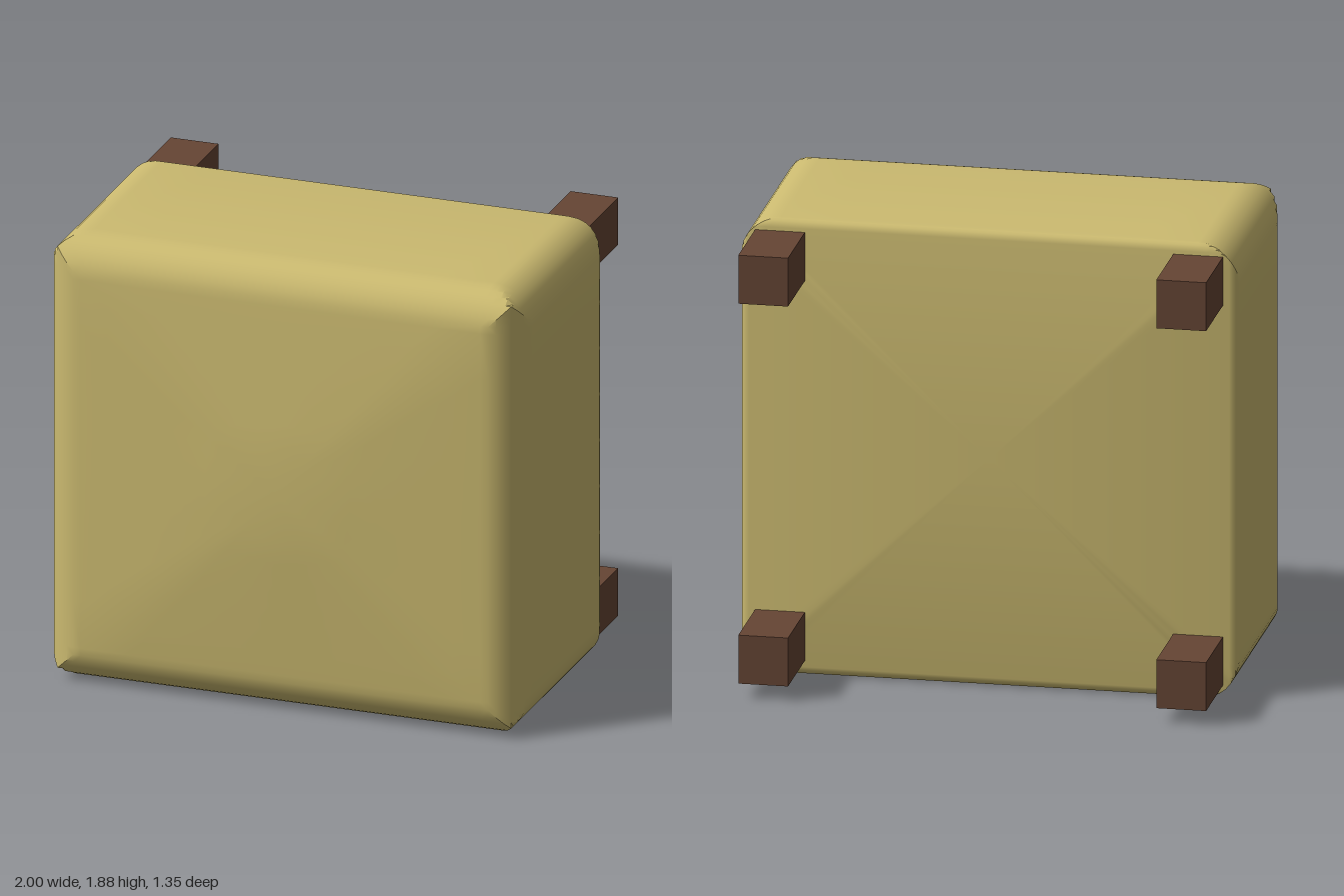
import * as THREE from 'three';
import { toCreasedNormals } from 'three/addons/utils/BufferGeometryUtils.js';

const W = 1, H = 0.94, R = 0.16;      // half width, half height, edge radius
const BACK = -0.33, FRONT = 0.63, BACK_R = 0.035;

// Rounded-rectangle outline, counter-clockwise seen from +z
function outline() {
  const pts = [], arc = 8, side = 8;
  const corners = [[1, 1], [-1, 1], [-1, -1], [1, -1]];
  corners.forEach(([sx, sy], k) => {
    for (let i = 0; i <= arc; i++) {
      const a = (k + i / arc) * Math.PI / 2;
      pts.push([sx * (W - R) + R * Math.cos(a), sy * (H - R) + R * Math.sin(a)]);
    }
    // points along the straight side to the next corner
    const [nx, ny] = corners[(k + 1) % 4], a = (k + 1) * Math.PI / 2;
    const [px, py] = pts[pts.length - 1];
    const qx = nx * (W - R) + R * Math.cos(a), qy = ny * (H - R) + R * Math.sin(a);
    for (let i = 1; i < side; i++) {
      pts.push([px + (qx - px) * i / side, py + (qy - py) * i / side]);
    }
  });
  return pts;
}

// Cushion: outline clipped by an inset rectangle at each depth, so edges meet in mitred corners
function cushionGeometry() {
  const base = outline();
  const clamp = THREE.MathUtils.clamp;
  const section = (inset, z) => base.map(([x, y]) => new THREE.Vector3(
    clamp(x, inset - W, W - inset), clamp(y, inset - H, H - inset), z));
  const rings = [base.map(() => new THREE.Vector3(0, 0, BACK))];

  // small back edge
  for (let i = 0; i <= 4; i++) {
    const a = i / 4 * Math.PI / 2;
    rings.push(section(BACK_R * (1 - Math.sin(a)), BACK + BACK_R * (1 - Math.cos(a))));
  }
  // large front edge
  for (let i = 0; i <= 8; i++) {
    const a = i / 8 * Math.PI / 2;
    rings.push(section(R * (1 - Math.cos(a)), FRONT - R + R * Math.sin(a)));
  }
  // crowned front, blending from the rim to a flat central disc
  const rim = rings[rings.length - 1];
  for (let i = 1; i <= 6; i++) {
    const t = i / 6;
    rings.push(rim.map((p) => {
      const d = Math.hypot(p.x, p.y), k = 0.2 / d;
      const s = 1 + (k - 1) * t;
      return new THREE.Vector3(p.x * s, p.y * s, FRONT + 0.045 * t);
    }));
  }
  rings.push(base.map(() => new THREE.Vector3(0, 0, FRONT + 0.045)));

  const pos = [], tri = new THREE.Triangle();
  const add = (a, b, c) => {
    if (tri.set(a, b, c).getArea() > 1e-8) pos.push(...a, ...b, ...c);
  };
  for (let i = 0; i < rings.length - 1; i++) {
    for (let j = 0; j < base.length; j++) {
      const n = (j + 1) % base.length;
      add(rings[i][j], rings[i][n], rings[i + 1][n]);
      add(rings[i][j], rings[i + 1][n], rings[i + 1][j]);
    }
  }
  const geo = new THREE.BufferGeometry();
  geo.setAttribute('position', new THREE.Float32BufferAttribute(pos, 3));
  return toCreasedNormals(geo, 0.5);
}

export function createModel() {
  const model = new THREE.Group();
  model.name = 'footstool';
  const fabric = new THREE.MeshStandardMaterial({ color: 0xcbba70 });
  fabric.name = 'mustard fabric';
  const wood = new THREE.MeshStandardMaterial({ color: 0x664534 });
  wood.name = 'dark wood';

  const cushion = new THREE.Mesh(cushionGeometry(), fabric);
  cushion.name = 'cushion';
  cushion.position.y = H;
  model.add(cushion);

  // four square legs on the back
  const legGeo = new THREE.BoxGeometry(0.2, 0.2, 0.35);
  for (const sx of [-1, 1]) for (const sy of [-1, 1]) {
    const leg = new THREE.Mesh(legGeo, wood);
    leg.name = (sy > 0 ? 'upper' : 'lower') + (sx > 0 ? 'Left' : 'Right') + 'Leg';
    leg.position.set(sx * 0.84, H + 0.006 + sy * 0.785, -0.5);
    model.add(leg);
  }
  return model;
}
